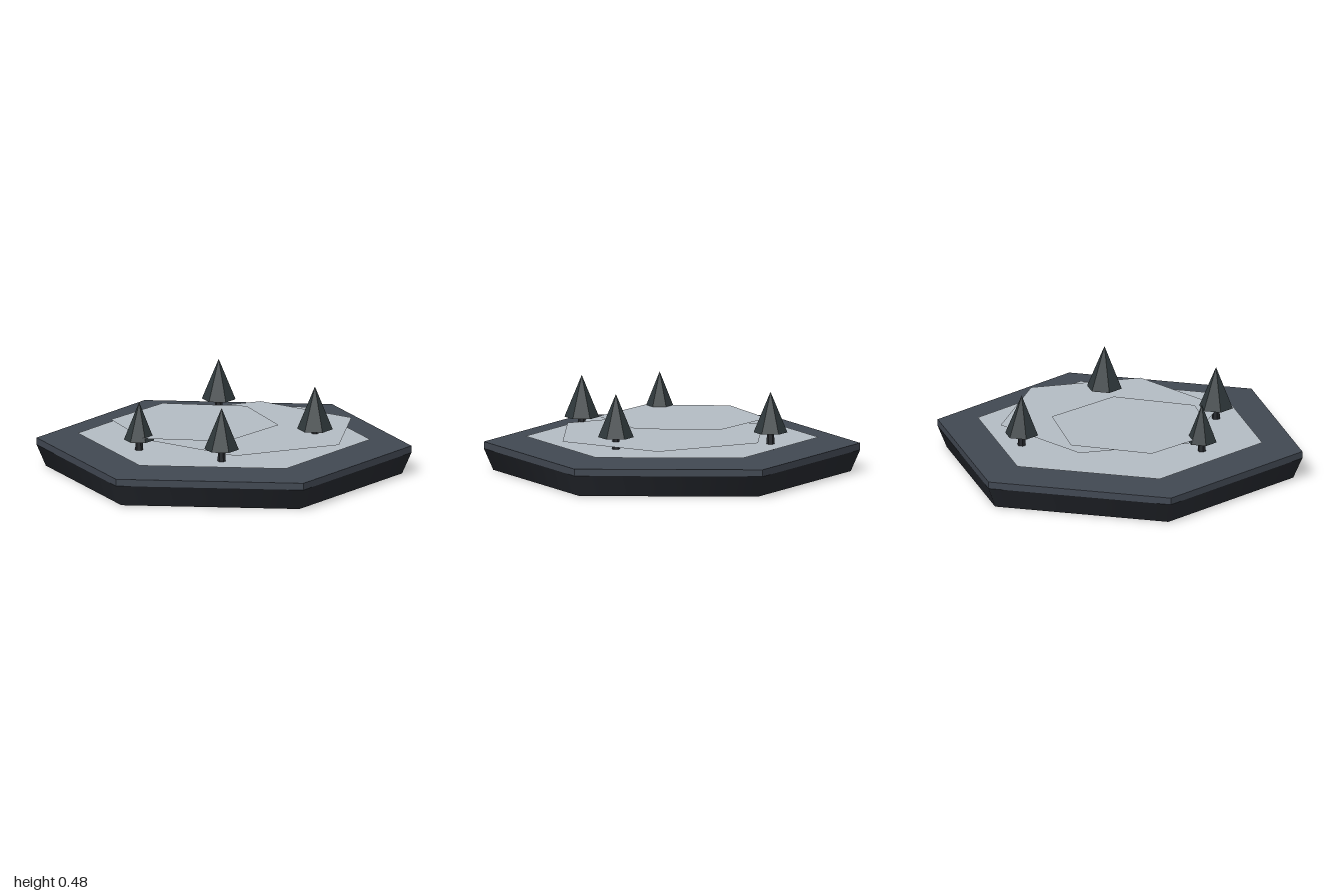
import * as THREE from 'three';

const flat = (color) => new THREE.MeshStandardMaterial({ color, flatShading: true });

function part(name, geometry, material, x, y, z) {
  const mesh = new THREE.Mesh(geometry, material);
  mesh.name = name;
  mesh.position.set(x, y, z);
  return mesh;
}

export function createModel() {
  const model = new THREE.Group();
  model.name = 'forestTile';

  // Hexagonal tile: tapered base with a straight slab on top
  const baseMat = new THREE.MeshStandardMaterial({ color: 0x24272d });
  model.add(part('base', new THREE.CylinderGeometry(1, 0.95, 0.115, 6), baseMat, 0, 0.0575, 0));
  model.add(part('groundSlab', new THREE.CylinderGeometry(1, 1, 0.037, 6), flat(0x414852), 0, 0.1335, 0));

  // Thin mist sheets, each smaller, higher and turned further: radius, x, y, z, turn
  const mistMat = new THREE.MeshStandardMaterial({ color: 0xb4bcc4, side: THREE.DoubleSide });
  const sheets = [
    [0.78, 0, 0.182, 0, 0],
    [0.6, 0.1, 0.222, -0.08, 0.5],
    [0.45, -0.12, 0.262, 0.1, 1],
  ];
  for (const [radius, x, y, z, turn] of sheets) {
    const hexagon = new THREE.CircleGeometry(radius, 6, Math.PI / 2).rotateX(-Math.PI / 2);
    const sheet = part('mistSheet', hexagon, mistMat, x, y, z);
    sheet.rotation.y = turn;
    model.add(sheet);
  }

  // Conifers: x, z, crown radius, crown bottom, crown height
  const trunkMat = flat(0x25282c);
  const crownMat = flat(0x2f383b);
  const trees = [
    [-0.35, -0.45, 0.09, 0.094, 0.218],
    [0.45, -0.2, 0.095, 0.096, 0.232],
    [-0.2, 0.5, 0.081, 0.087, 0.206],
    [0.3, 0.45, 0.092, 0.097, 0.225],
  ];
  for (const [x, z, radius, bottom, height] of trees) {
    const tree = new THREE.Group();
    tree.name = 'tree';
    tree.position.set(x, 0.15, z);
    tree.add(part('trunk', new THREE.CylinderGeometry(0.018, 0.024, bottom + 0.01, 6), trunkMat, 0, bottom / 2, 0));
    tree.add(part('crown', new THREE.ConeGeometry(radius, height, 6), crownMat, 0, bottom + height / 2, 0));
    model.add(tree);
  }
  return model;
}
